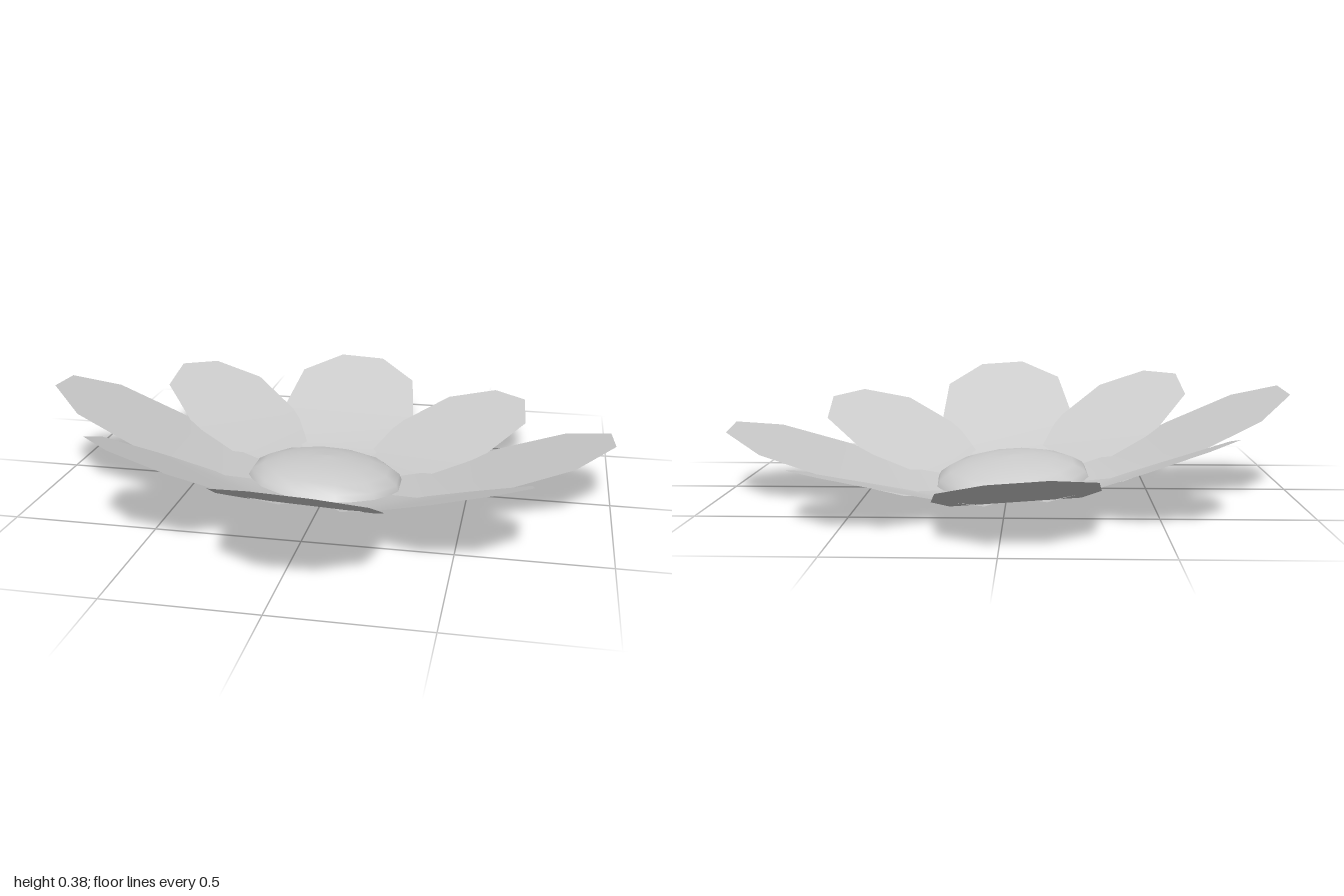
import * as THREE from 'three';

const material = new THREE.MeshStandardMaterial({ color: 0xcccccc, side: THREE.DoubleSide });

// Petal cross-sections from base to tip: distance from centre, half width, height
const PETAL_ROWS = [
  [0.10, 0.09, 0.025],
  [0.22, 0.175, 0.042],
  [0.38, 0.22, 0.065],
  [0.62, 0.266, 0.155],
  [0.86, 0.238, 0.25],
  [1.00, 0.09, 0.305],
];

// One thin petal pointing along +z, rising towards its blunt tip
function petalGeometry() {
  const positions = [];
  const index = [];
  PETAL_ROWS.forEach(([r, w, h], i) => {
    positions.push(-w, h, r, w, h, r);
    if (i === 0) return;
    const a = 2 * (i - 1);
    index.push(a, a + 2, a + 1, a + 1, a + 2, a + 3);
  });
  const geometry = new THREE.BufferGeometry();
  geometry.setAttribute('position', new THREE.Float32BufferAttribute(positions, 3));
  geometry.setIndex(index);
  geometry.computeVertexNormals();
  return geometry;
}

// Twelve-sided domed flower centre
function domeGeometry(radius, height, rimY) {
  const profile = [];
  const rings = 5;
  for (let i = 0; i <= rings; i++) {
    const t = (i / rings) * Math.PI / 2;
    profile.push(new THREE.Vector2(i === rings ? 0 : radius * Math.cos(t), rimY + height * Math.sin(t)));
  }
  return new THREE.LatheGeometry(profile, 12);
}

export function createModel() {
  const model = new THREE.Group();
  model.name = 'flower';

  // The whole blossom leans slightly to the back and to its left
  const blossom = new THREE.Group();
  blossom.name = 'blossom';
  blossom.position.set(-0.018, 0.003, 0.026);
  blossom.rotation.set(-0.085, 0, -0.06);
  model.add(blossom);

  // Eight petals, long and short in turn
  const geometry = petalGeometry();
  const twist = THREE.MathUtils.degToRad(3.2);
  for (let i = 0; i < 8; i++) {
    const isLong = i % 2 === 0;
    const petal = new THREE.Mesh(geometry, material);
    petal.name = isLong ? 'longPetal' : 'shortPetal';
    petal.rotation.y = twist + (i * Math.PI) / 4;
    petal.scale.setScalar(isLong ? 1 : 0.92);
    blossom.add(petal);
  }

  // Raised centre
  const centre = new THREE.Mesh(domeGeometry(0.286, 0.09, 0.042), material);
  centre.name = 'flowerCentre';
  centre.rotation.y = twist + Math.PI / 12;
  blossom.add(centre);

  return model;
}
